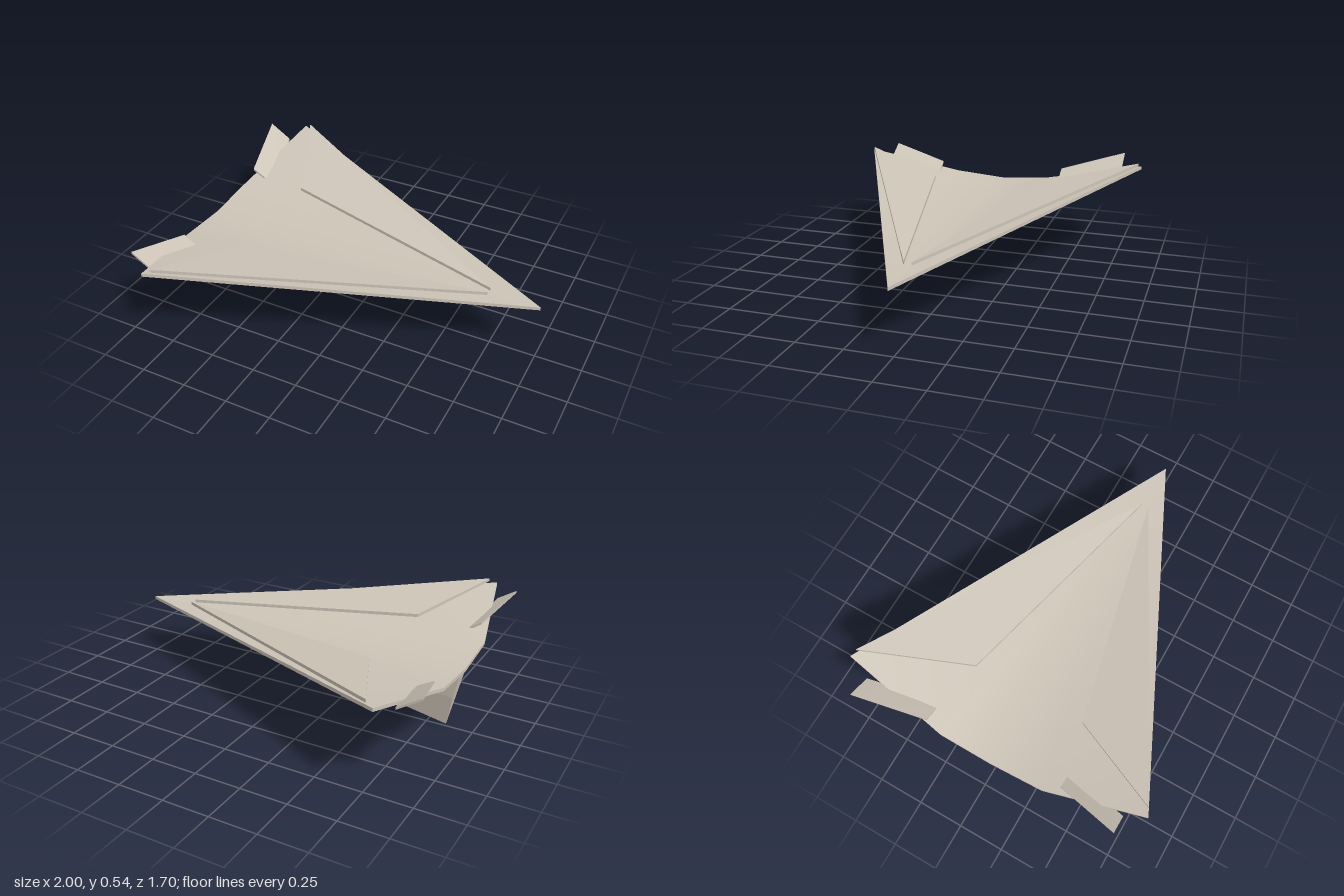
import * as THREE from 'three';

const paper = new THREE.MeshStandardMaterial({ color: 0xcdc4b7 });
paper.name = 'warmPaper';

// Thin sheet: fan of top points (counterclockwise from above), smooth faces and crisp rim
function sheet(name, pts, thick) {
  const pos = [], idx = [], n = pts.length;
  for (const drop of [0, thick]) for (const [x, y, z] of pts) pos.push(x, y - drop, z);
  for (let i = 1; i < n - 1; i++) {
    idx.push(0, i, i + 1, n, n + i + 1, n + i);
  }
  for (let i = 0; i < n; i++) {
    const a = pts[i], b = pts[(i + 1) % n], k = pos.length / 3;
    pos.push(...a, a[0], a[1] - thick, a[2], b[0], b[1] - thick, b[2], ...b);
    idx.push(k, k + 1, k + 2, k, k + 2, k + 3);
  }
  return build(name, pos, idx);
}

function build(name, pos, idx) {
  const g = new THREE.BufferGeometry();
  g.setAttribute('position', new THREE.Float32BufferAttribute(pos, 3));
  if (idx) g.setIndex(idx);
  g.computeVertexNormals();
  const mesh = new THREE.Mesh(g, paper);
  mesh.name = name;
  return mesh;
}

// Folded keel: faceted wedge tapering from the rear section to the nose
function keel() {
  const apex = [0.92, 0.325, 0.02];
  const ring = [[-0.92, 0.33, 0.06], [-0.885, 0.17, 0.048], [-0.85, 0, 0.02],
    [-0.885, 0.17, -0.008], [-0.92, 0.33, -0.02]];
  const pos = [];
  ring.forEach((p, i) => {
    const q = ring[(i + 1) % ring.length];
    pos.push(...apex, ...p, ...q);
    if (i > 0 && i < ring.length - 1) pos.push(...ring[0], ...q, ...p);
  });
  return build('keel', pos);
}

export function createModel() {
  const group = new THREE.Group();
  group.name = 'paperPlane';

  // Swept wing, bent upward on both sides of the centre fold
  group.add(sheet('wing', [
    [1, 0.338, 0.02], [-0.83, 0.505, -0.85], [-0.93, 0.363, -0.27],
    [-0.93, 0.338, 0.02], [-0.922, 0.363, 0.32], [-0.8, 0.492, 0.845],
  ], 0.018));

  // Raised folded flaps on the wing
  group.add(sheet('rightFlap', [[0.73, 0.36, 0.01], [-0.79, 0.53, -0.835], [-0.545, 0.438, -0.285]], 0.017));
  group.add(sheet('leftFlap', [[0.73, 0.36, 0.05], [-0.535, 0.43, 0.335], [-0.76, 0.516, 0.825]], 0.017));

  // Upturned trailing fins cutting through the wing
  group.add(sheet('rightFin', [
    [-0.78, 0.36, -0.355], [-0.88, 0.462, -0.725], [-1, 0.538, -0.725], [-0.91, 0.432, -0.355],
  ], 0.012));
  group.add(sheet('leftFin', [
    [-0.77, 0.362, 0.4], [-0.87, 0.43, 0.4], [-0.945, 0.507, 0.735], [-0.845, 0.445, 0.735],
  ], 0.012));

  group.add(keel());
  return group;
}
